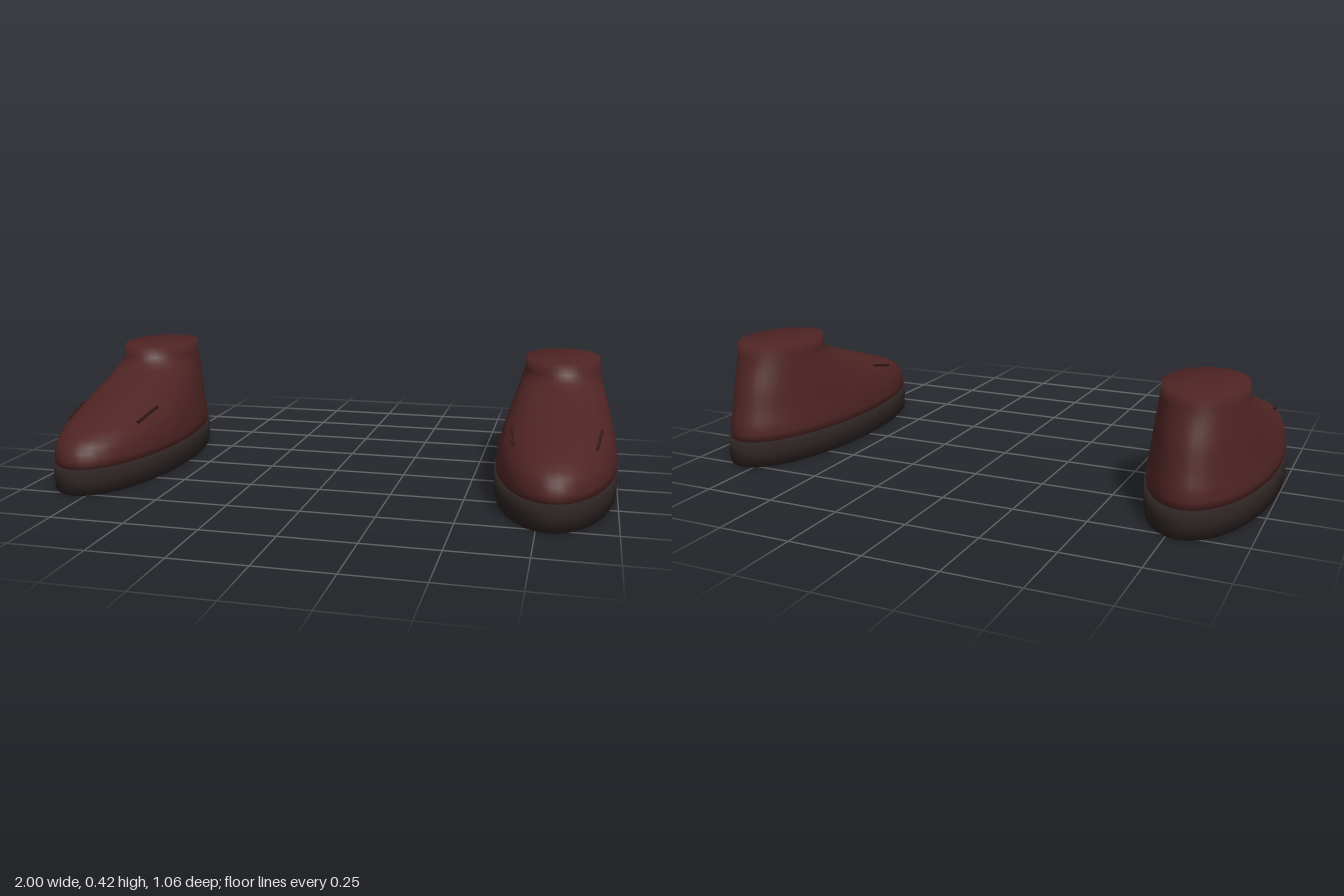
import * as THREE from 'three';

const SEG = 48;

// Smooth closed loft through elliptical rings [y, front z, back z, half width]
function loft(rings) {
  const pos = [], index = [];
  for (const [y, front, back, w] of rings) {
    const mid = (front + back) / 2, half = (front - back) / 2;
    for (let j = 0; j < SEG; j++) {
      const t = (j / SEG) * Math.PI * 2;
      pos.push(w * Math.sin(t), y, mid + half * Math.cos(t));
    }
  }
  for (let i = 0; i < rings.length - 1; i++) {
    for (let j = 0; j < SEG; j++) {
      const k = (j + 1) % SEG, a = i * SEG, b = a + SEG;
      index.push(a + j, a + k, b + j, a + k, b + k, b + j);
    }
  }
  // Flat caps share their rim vertices with the walls, for a soft rounded edge
  const last = (rings.length - 1) * SEG, n = rings.length * SEG;
  for (const r of [rings[0], rings[rings.length - 1]]) pos.push(0, r[0], (r[1] + r[2]) / 2);
  for (let j = 0; j < SEG; j++) {
    const k = (j + 1) % SEG;
    index.push(n, k, j, n + 1, last + j, last + k);
  }
  const g = new THREE.BufferGeometry();
  g.setAttribute('position', new THREE.Float32BufferAttribute(pos, 3));
  g.setIndex(index);
  g.computeVertexNormals();
  return g;
}

const SOLE = [
  [0, 0.526, -0.524, 0.206],
  [0.05, 0.53, -0.53, 0.21],
  [0.09, 0.528, -0.527, 0.209],
];

const UPPER = [
  [0.085, 0.522, -0.513, 0.203],
  [0.115, 0.52, -0.513, 0.204],
  [0.14, 0.512, -0.511, 0.202],
  [0.16, 0.498, -0.506, 0.198],
  [0.18, 0.472, -0.5, 0.194],
  [0.2, 0.43, -0.495, 0.189],
  [0.22, 0.37, -0.49, 0.183],
  [0.25, 0.275, -0.483, 0.174],
  [0.28, 0.18, -0.475, 0.164],
  [0.31, 0.085, -0.464, 0.154],
  [0.335, 0.01, -0.456, 0.146],
  [0.355, -0.038, -0.449, 0.14],
  [0.38, -0.062, -0.444, 0.135],
  [0.42, -0.07, -0.437, 0.132],
];

export function createModel() {
  const leather = new THREE.MeshStandardMaterial({ name: 'dark red leather', color: 0x4f2424 });
  const rubber = new THREE.MeshStandardMaterial({ name: 'dark rubber', color: 0x2d2423 });
  const seam = new THREE.MeshStandardMaterial({ name: 'seam red', color: 0x351818 });

  const soleGeo = loft(SOLE), upperGeo = loft(UPPER);
  const seamGeo = new THREE.BoxGeometry(0.008, 0.01, 0.146);

  const model = new THREE.Group();
  model.name = 'pairOfShoes';
  for (const side of [-1, 1]) {
    const shoe = new THREE.Group();
    shoe.name = side < 0 ? 'rightShoe' : 'leftShoe';
    shoe.position.x = side * 0.79;

    const add = (name, geo, mat) => {
      const m = new THREE.Mesh(geo, mat);
      m.name = name;
      shoe.add(m);
      return m;
    };
    add('sole', soleGeo, rubber);
    add('upper', upperGeo, leather);

    // Slanted seam strip on each flank, half sunk into the leather
    for (const s of [-1, 1]) {
      const front = new THREE.Vector3(s * 0.132, 0.207, 0.282);
      const rear = new THREE.Vector3(s * 0.147, 0.238, 0.142);
      const strip = add('sideSeam', seamGeo, seam);
      strip.position.copy(front).add(rear).multiplyScalar(0.5);
      strip.quaternion.setFromUnitVectors(
        new THREE.Vector3(0, 0, 1), front.clone().sub(rear).normalize());
    }
    model.add(shoe);
  }
  return model;
}
